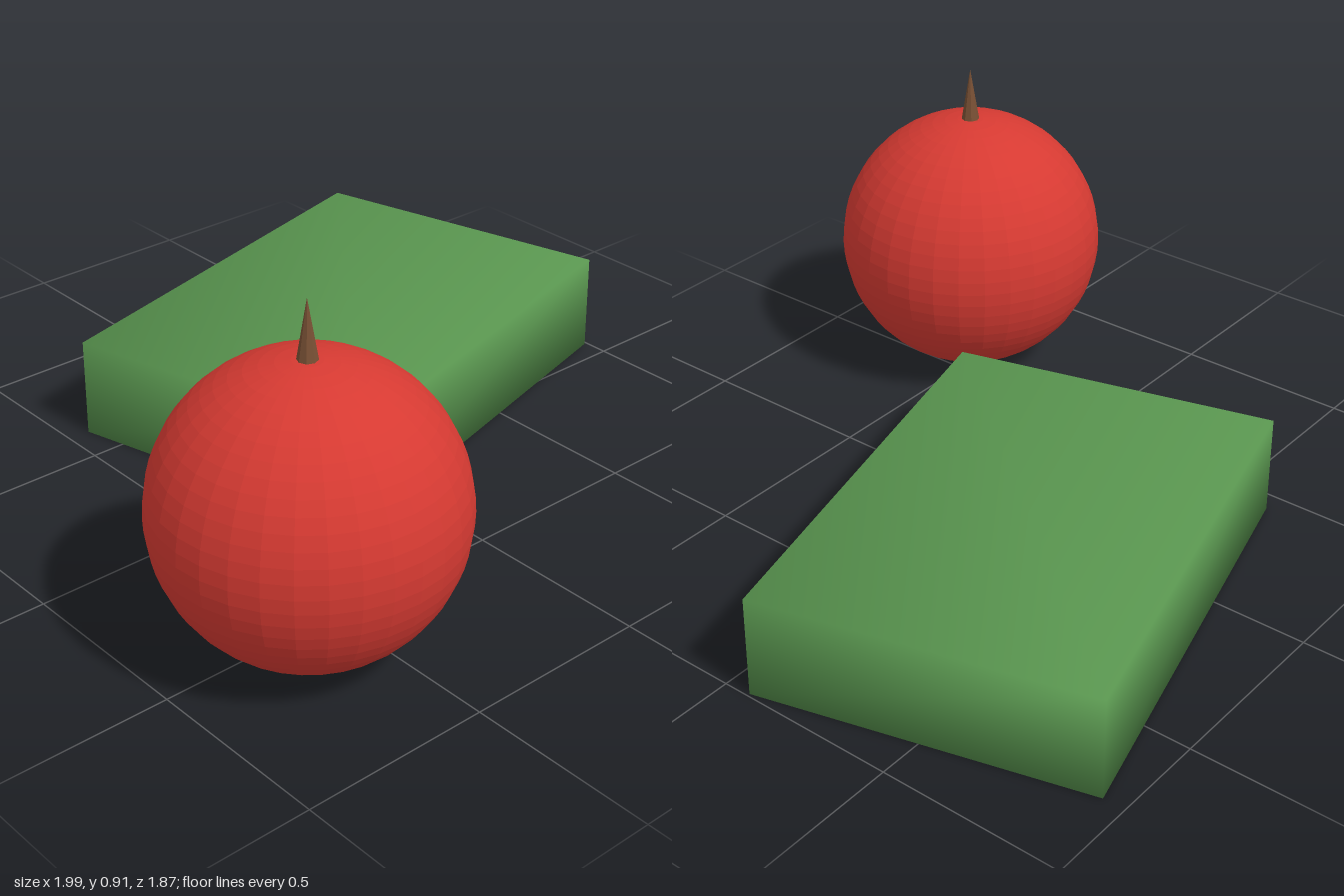
import * as THREE from 'three';
import { mergeVertices } from 'three/addons/utils/BufferGeometryUtils.js';

const paint = (name, color, flatShading = false) => {
  const m = new THREE.MeshStandardMaterial({ color, flatShading });
  m.name = name;
  return m;
};

// Box with shared corners, so its normals blend smoothly across the edges
function smoothBox(w, h, d) {
  const box = new THREE.BoxGeometry(w, h, d);
  box.deleteAttribute('normal');
  box.deleteAttribute('uv');
  const geometry = mergeVertices(box);
  geometry.computeVertexNormals();
  return geometry;
}

export function createModel() {
  const model = new THREE.Group();
  const add = (name, geometry, material, x, y, z) => {
    const mesh = new THREE.Mesh(geometry, material);
    mesh.name = name;
    mesh.position.set(x, y, z);
    model.add(mesh);
    return mesh;
  };

  // Thick book lying flat, turned a little
  const book = add('book', smoothBox(1.24, 0.28, 0.9), paint('bookGreen', 0x59954f), 0.277, 0.14, -0.345);
  book.rotation.y = Math.PI / 12;

  // Apple and its pointed stem
  const ax = -0.62, az = 0.555;
  add('apple', new THREE.SphereGeometry(0.379, 32, 32), paint('appleRed', 0xd63a32, true), ax, 0.383, az);
  add('stem', new THREE.ConeGeometry(0.026, 0.155, 8), paint('stemBrown', 0x785034, true), ax, 0.834, az);

  return model;
}
